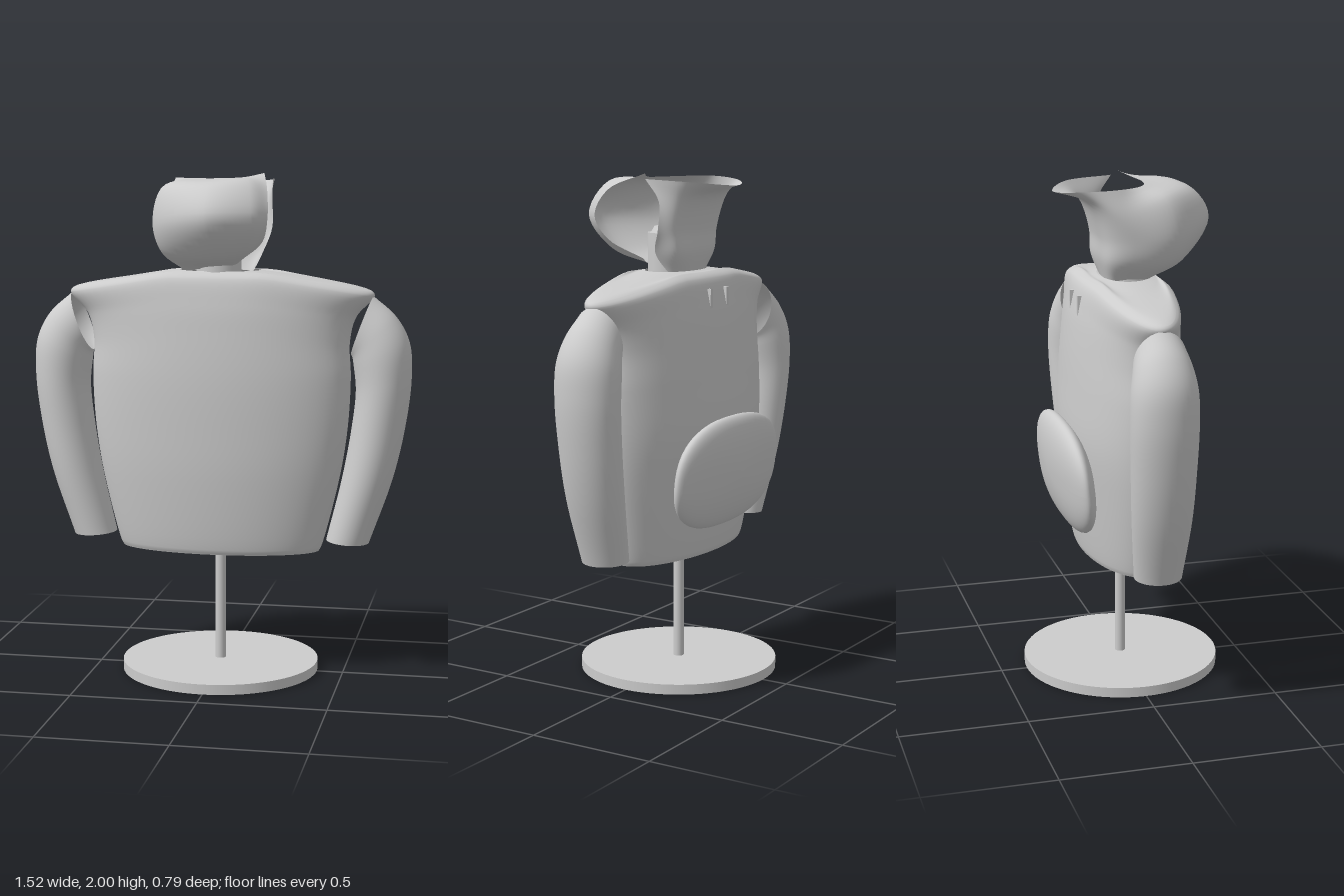
import * as THREE from 'three';

const fabric = new THREE.MeshStandardMaterial({ color: 0xcccccc, side: THREE.DoubleSide });
fabric.name = 'plain grey';

const V = (x, y, z) => new THREE.Vector3(x, y, z);

// Smooth surface through cross-sections that all have the same number of points.
function loft(sections, steps, closed) {
  const n = sections[0].length;
  const tracks = [];
  for (let i = 0; i < n; i++) {
    tracks.push(new THREE.CatmullRomCurve3(sections.map((s) => s[i])).getPoints(steps));
  }
  const pos = [];
  const index = [];
  for (let j = 0; j <= steps; j++) tracks.forEach((t) => pos.push(t[j].x, t[j].y, t[j].z));
  for (let j = 0; j < steps; j++) {
    for (let i = 0; i < (closed ? n : n - 1); i++) {
      const k = (i + 1) % n;
      const a = j * n + i, b = j * n + k, c = a + n, d = b + n;
      index.push(a, c, b, b, c, d);
    }
  }
  const g = new THREE.BufferGeometry();
  g.setAttribute('position', new THREE.Float32BufferAttribute(pos, 3));
  g.setIndex(index);
  g.computeVertexNormals();
  return g;
}

function ring(fn, count = 64) {
  return Array.from({ length: count }, (_, i) => {
    const a = (i / count) * Math.PI * 2;
    return fn(Math.cos(a), Math.sin(a));
  });
}

// Torso rings: y at the sides, y in the middle, half width, front z, back z.
function torsoGeometry() {
  const rows = [
    [0.5, 0.5, 0.4, 0.16, -0.165],
    [0.52, 0.52, 0.41, 0.168, -0.172],
    [0.8, 0.8, 0.48, 0.198, -0.21],
    [1.0, 1.0, 0.51, 0.205, -0.23],
    [1.2, 1.2, 0.52, 0.205, -0.22],
    [1.34, 1.37, 0.515, 0.195, -0.205],
    [1.44, 1.49, 0.54, 0.183, -0.187],
    [1.52, 1.59, 0.61, 0.16, -0.158],
    [1.54, 1.612, 0.6, 0.135, -0.125],
    [1.6, 1.613, 0.28, 0.13, -0.105],
    [1.617, 1.617, 0.16, 0.12, -0.085],
  ];
  return loft(rows.map(([side, mid, w, front, back]) => ring((c, s) => {
    const rise = Math.min(1, (1 - Math.abs(c)) / 0.67);
    return V(w * c, side + (mid - side) * rise, s > 0 ? front * s : -back * s);
  })), 80, true);
}

// Sleeve rings: inner x, y, outer x, y, front z, back z.
function sleeveGeometry(side) {
  const rows = [
    [0.43, 0.55, 0.6, 0.54, 0.1, -0.085],
    [0.49, 0.8, 0.69, 0.8, 0.115, -0.115],
    [0.525, 1.0, 0.735, 1.0, 0.118, -0.13],
    [0.54, 1.15, 0.758, 1.2, 0.12, -0.138],
    [0.53, 1.25, 0.748, 1.34, 0.118, -0.135],
    [0.525, 1.28, 0.695, 1.44, 0.108, -0.122],
    [0.52, 1.29, 0.605, 1.52, 0.095, -0.105],
  ];
  return loft(rows.map(([ix, iy, ox, oy, f, b]) => ring((c, s) => V(
    side * ((ix + ox) / 2 + ((ox - ix) / 2) * c),
    (iy + oy) / 2 + ((oy - iy) / 2) * c,
    (f + b) / 2 + ((f - b) / 2) * s,
  ), 40)), 48, true);
}

// Wrapped collar: sections run from the back left end around to the loose front flap.
function collarGeometry() {
  const keys = [
    [[0.12, 1.6, -0.04], [0.17, 1.69, 0], [0.2, 1.78, -0.03], [0.2, 1.89, -0.035], [0.21, 1.975, 0.02]],
    [[0.1, 1.61, -0.06], [0.14, 1.69, -0.08], [0.15, 1.78, -0.085], [0.16, 1.9, -0.12], [0.175, 1.965, -0.17]],
    [[0, 1.61, -0.07], [0, 1.69, -0.09], [0, 1.78, -0.095], [0, 1.91, -0.145], [0, 1.95, -0.265]],
    [[-0.1, 1.61, -0.06], [-0.14, 1.69, -0.08], [-0.15, 1.78, -0.085], [-0.16, 1.9, -0.12], [-0.15, 1.965, -0.18]],
    [[-0.13, 1.62, 0], [-0.19, 1.69, 0], [-0.215, 1.78, 0], [-0.215, 1.88, -0.03], [-0.19, 1.975, -0.05]],
    [[-0.13, 1.62, 0.08], [-0.2, 1.69, 0.16], [-0.235, 1.8, 0.17], [-0.205, 1.94, 0.14], [-0.12, 1.975, 0.05]],
    [[0, 1.63, 0.1], [0, 1.68, 0.25], [0, 1.83, 0.36], [0, 1.95, 0.28], [0, 1.975, 0.09]],
    [[0.08, 1.645, 0.1], [0.13, 1.7, 0.23], [0.17, 1.83, 0.31], [0.15, 1.96, 0.23], [0.11, 1.98, 0.075]],
    [[0.1, 1.66, 0.1], [0.2, 1.74, 0.2], [0.225, 1.83, 0.245], [0.215, 1.93, 0.19], [0.18, 1.995, 0.04]],
  ];
  const sections = keys.map((k) => new THREE.CatmullRomCurve3(k.map((p) => V(...p))).getPoints(24));
  return loft(sections, 72, false);
}

// Padded back pouch: a rounded pillow tilted along the back.
function pouchGeometry() {
  const g = new THREE.SphereGeometry(1, 48, 32);
  g.rotateX(Math.PI / 2);
  const p = g.attributes.position;
  const round = (v, r) => (r > 1e-6 ? v / r : 0);
  for (let i = 0; i < p.count; i++) {
    const x = p.getX(i), y = p.getY(i), z = p.getZ(i);
    const r = Math.hypot(x, y);
    const c = round(x, r), s = round(y, r);
    const k = r / Math.pow(Math.abs(c) ** 2.5 + Math.abs(s) ** 2.5 || 1, 1 / 2.5);
    p.setXYZ(i, 0.375 * c * k, 0.835 + 0.22 * s * k, -0.225 - 0.025 * s * k + 0.072 * z);
  }
  g.computeVertexNormals();
  return g;
}

export function createModel() {
  const model = new THREE.Group();
  model.name = 'jacketOnStand';
  const add = (name, geometry, x = 0, y = 0, z = 0) => {
    const mesh = new THREE.Mesh(geometry, fabric);
    mesh.name = name;
    mesh.position.set(x, y, z);
    model.add(mesh);
  };

  // Stand
  add('standBase', new THREE.CylinderGeometry(0.395, 0.395, 0.04, 72), 0, 0.02, 0);
  add('standPole', new THREE.CylinderGeometry(0.021, 0.021, 1.56, 24), 0, 0.82, 0);
  add('neckPost', new THREE.CylinderGeometry(0.088, 0.088, 0.18, 40), 0, 1.67, 0.04);
  add('neckCap', new THREE.CylinderGeometry(0.062, 0.075, 0.025, 40), 0, 1.772, 0.04);

  // Jacket
  add('torso', torsoGeometry());
  add('leftSleeve', sleeveGeometry(1));
  add('rightSleeve', sleeveGeometry(-1));
  add('collar', collarGeometry());
  add('backPouch', pouchGeometry());

  // Small hanging tabs below the collar at the back
  for (const x of [-0.06, 0.06]) {
    add('backTab', new THREE.BoxGeometry(0.016, 0.085, 0.02), x, 1.51, -0.178);
  }
  return model;
}
